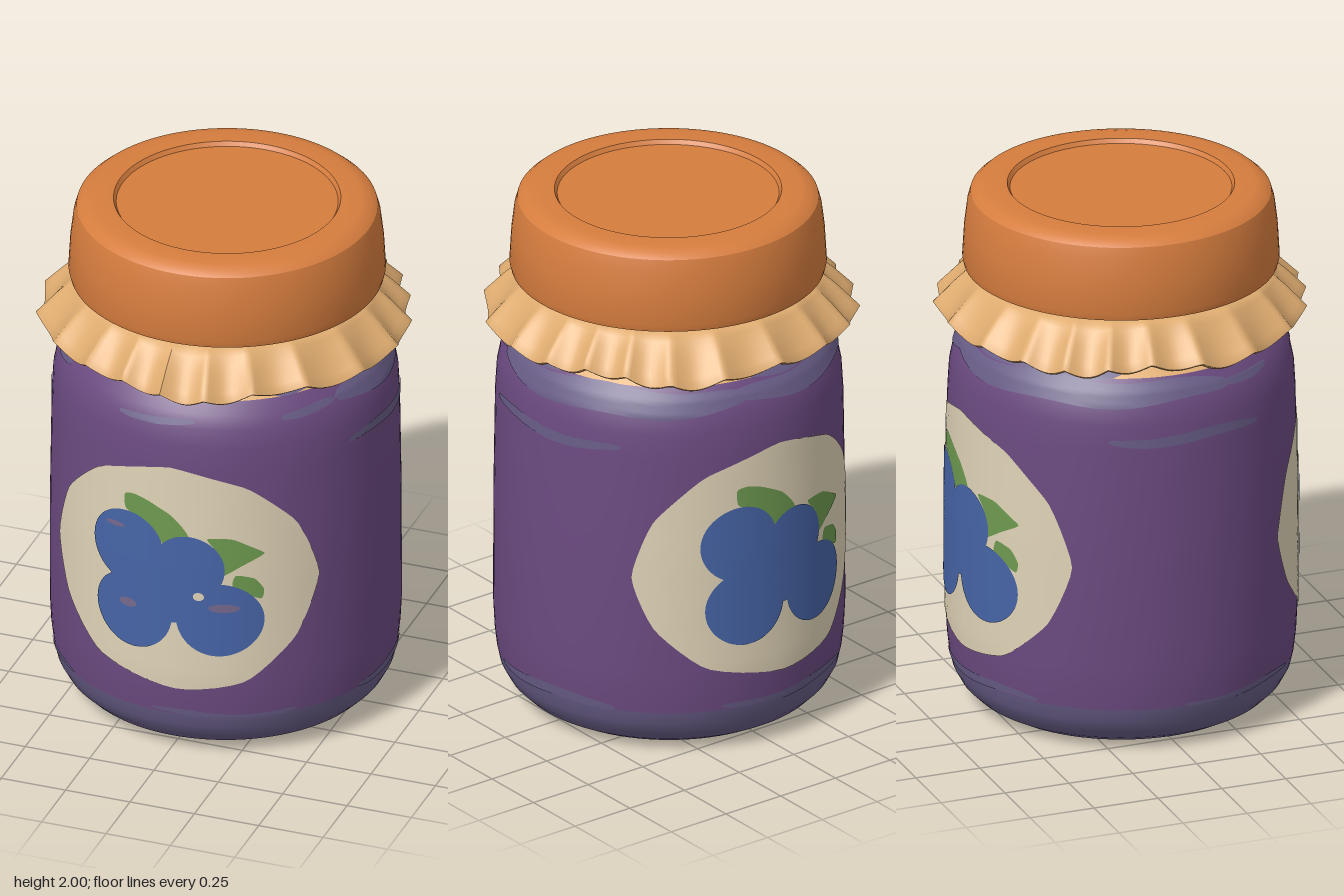
import * as THREE from 'three';
import { toCreasedNormals } from 'three/addons/utils/BufferGeometryUtils.js';
import { ParametricGeometry } from 'three/addons/geometries/ParametricGeometry.js';

const V2 = (p) => new THREE.Vector2(p[0], p[1]);
const rad = THREE.MathUtils.degToRad;

const mat = (name, color, side = THREE.FrontSide) => {
  const m = new THREE.MeshStandardMaterial({ color, side });
  m.name = name;
  return m;
};

// Jar silhouette as [radius, height], split where the colour changes
const BASE = [[0, 0.012], [0.44, 0.012], [0.46, 0], [0.5, 0.012], [0.55, 0.04], [0.59, 0.08], [0.617, 0.13], [0.628, 0.18]];
const BODY = [[0.628, 0.18], [0.636, 0.25], [0.641, 0.35], [0.64, 0.8], [0.634, 1.2], [0.628, 1.3], [0.614, 1.37], [0.59, 1.42], [0.555, 1.46]];
const SHOULDER = [[0.555, 1.46], [0.515, 1.495], [0.47, 1.53], [0.45, 1.56], [0.45, 1.72]];
const WALL = [...BASE.slice(2), ...BODY.slice(1), ...SHOULDER.slice(1)];

// Jar radius at a height
function radiusAt(y) {
  for (let i = 1; i < WALL.length; i++) {
    const [r0, y0] = WALL[i - 1], [r1, y1] = WALL[i];
    if (y <= y1) return r0 + (r1 - r0) * (y - y0) / (y1 - y0);
  }
  return 0.45;
}

function surface(fn, nu, nv) {
  const g = new ParametricGeometry(fn, nu, nv);
  g.computeVertexNormals();
  return g;
}

function lathe(points, crease = 0.6) {
  return toCreasedNormals(new THREE.LatheGeometry(points.map(V2), 96), crease);
}

// Flat outline laid onto the front of the jar wall, filled from its middle
function decal(center, outline, lift) {
  const [cx, cy] = center;
  return surface((u, v, t) => {
    const p = outline(v);
    const x = cx + (p[0] - cx) * u, y = cy + (p[1] - cy) * u;
    const r = radiusAt(y) + lift;
    t.set(x, y, Math.sqrt(Math.max(0, r * r - x * x)));
  }, 16, 64);
}

const ellipse = (cx, cy, rx, ry) => (v) => {
  const a = v * Math.PI * 2;
  return [cx + rx * Math.cos(a), cy + ry * Math.sin(a)];
};

// Closed outline through a few counter-clockwise points
function blob(points) {
  const c = new THREE.CatmullRomCurve3(points.map((p) => new THREE.Vector3(p[0], p[1], 0)), true, 'catmullrom', 0.3);
  return (v) => c.getPoint(v % 1).toArray();
}

// Tapered, slightly uneven streak round the jar, angles in degrees from the front
function streak(from, to, y0, y1, lift = 0.003) {
  const mid = (y0 + y1) / 2, h = y1 - y0;
  return surface((u, v, t) => {
    const a = rad(from + (to - from) * u);
    const taper = Math.pow(Math.sin(Math.PI * Math.min(1, Math.max(0, u))), 0.35);
    const y = mid + h * (v - 0.5) * taper + 0.008 * Math.sin(a * 7 + y0 * 9);
    const r = radiusAt(y) + lift;
    t.set(r * Math.sin(a), y, r * Math.cos(a));
  }, 48, 8);
}

export function createModel() {
  const model = new THREE.Group();
  model.name = 'jamJar';
  const M = {
    purple: mat('purple jam', 0x6b4a80),
    haze: mat('greyish purple glass', 0x675c85),
    cloth: mat('tan cloth', 0xdfac70, THREE.DoubleSide),
    lid: mat('orange lid', 0xd67d3e),
    cream: mat('cream label', 0xdfd2b6),
    blue: mat('berry blue', 0x4664a6),
    green: mat('leaf green', 0x6d994f),
    mauve: mat('mauve mark', 0x75688c),
  };
  const add = (parent, name, geo, m) => {
    const mesh = new THREE.Mesh(geo, m);
    mesh.name = name;
    parent.add(mesh);
    return mesh;
  };

  // Jar
  add(model, 'jarBase', lathe(BASE), M.haze);
  add(model, 'jarBody', lathe(BODY), M.purple);
  add(model, 'jarNeck', lathe(SHOULDER), M.cloth);

  // Pale glass sheen on the shoulder and upper wall
  [
    [62, 172, 1.36, 1.455], [165, 290, 1.37, 1.455],
    [65, 127, 1.215, 1.255], [-116, -60, 1.22, 1.26],
    [-19, 10, 1.375, 1.4], [-75, -50, 1.4, 1.43], [40, 62, 1.39, 1.42],
    [60, 108, 1.45, 1.54], [-64, -14, 1.475, 1.54], [36, 62, 1.46, 1.54], [165, 250, 1.45, 1.53],
    [-5, 45, 0.175, 0.2], [70, 125, 0.175, 0.215], [160, 220, 0.175, 0.21], [-90, -40, 0.175, 0.2],
  ].forEach(([a, b, y0, y1]) => add(model, 'glassSheen', streak(a, b, y0, y1), M.haze));

  // Lid with bevelled rim and a shallow round recess on top
  const lid = add(model, 'lid', lathe([
    [0.43, 1.7], [0.55, 1.69], [0.572, 1.695], [0.578, 1.72], [0.571, 1.84], [0.56, 1.93],
    [0.548, 1.972], [0.525, 1.992], [0.49, 2], [0.414, 2], [0.404, 1.984], [0, 1.984],
  ], 0.5), M.lid);
  lid.position.x = 0.005;

  // Ruffled cloth skirt: [radius, height, ruffle strength] from under side to top
  const skirt = [[0.43, 1.6, 0], [0.55, 1.585, 0.4], [0.655, 1.518, 1], [0.672, 1.53, 1], [0.6, 1.615, 0.6], [0.545, 1.672, 0.2], [0.43, 1.692, 0]];
  add(model, 'clothSkirt', surface((u, v, t) => {
    const a = u * Math.PI * 2;
    const s = Math.min(v * 6, 5.9999), i = Math.floor(s), f = s - i;
    const [r, y, w] = skirt[i].map((p, k) => p + (skirt[i + 1][k] - p) * f);
    const fold = 1 - 2 * Math.abs(Math.sin(a * 11 + 0.8 * Math.sin(a * 3)));
    const sway = Math.sin(a * 5 + 1) + 0.6 * Math.sin(a * 8);
    const rr = r + w * (0.014 * fold + 0.008 * sway);
    t.set(rr * Math.sin(a), y + w * (0.017 * fold - 0.008 * sway), rr * Math.cos(a));
  }, 240, 18), M.cloth);

  // Oval label with berries and leaves, on front and back
  const berries = [[-0.148, 0.845, 0.147, 0.148], [0.09, 0.8, 0.132, 0.135], [-0.125, 0.59, 0.155, 0.152], [0.2, 0.595, 0.153, 0.15], [0.02, 0.7, 0.16, 0.13]];
  const leaves = [
    { c: [-0.04, 0.99], p: [[-0.16, 1.06], [-0.155, 1.0], [-0.07, 0.96], [0.01, 0.88], [0.09, 0.935], [0.03, 1.01], [-0.06, 1.055], [-0.12, 1.07]] },
    { c: [0.23, 0.88], p: [[0.16, 0.93], [0.2, 0.87], [0.21, 0.78], [0.28, 0.82], [0.345, 0.86], [0.345, 0.875], [0.25, 0.93]] },
    { c: [0.3, 0.735], p: [[0.26, 0.78], [0.25, 0.73], [0.34, 0.68], [0.35, 0.72], [0.32, 0.765]] },
  ];
  const label = (name) => {
    const g = new THREE.Group();
    g.name = name;
    const oval = blob([[0.51, 0.74], [0.445, 0.98], [0.29, 1.14], [0.02, 1.21], [-0.27, 1.13], [-0.43, 0.96], [-0.49, 0.73],
      [-0.43, 0.52], [-0.27, 0.36], [0.04, 0.293], [0.29, 0.335], [0.445, 0.5]]);
    add(g, 'labelOval', decal([0.01, 0.75], oval, 0.004), M.cream);
    leaves.forEach(({ c, p }) => add(g, 'leaf', decal(c, blob(p), 0.006), M.green));
    berries.forEach((b) => add(g, 'berry', decal(b, ellipse(...b), 0.008), M.blue));
    model.add(g);
    return g;
  };
  const front = label('frontLabel');
  label('backLabel').rotation.y = Math.PI;

  // Small marks on the front berries
  [[-0.2, 0.925, 0.04, 0.01], [-0.145, 0.615, 0.035, 0.018], [0.22, 0.645, 0.055, 0.017]]
    .forEach((e) => add(front, 'berryMark', decal(e, ellipse(...e), 0.0095), M.mauve));
  add(front, 'berryGlint', decal([0.13, 0.69], ellipse(0.13, 0.69, 0.02, 0.017), 0.0095), M.cream);

  return model;
}
